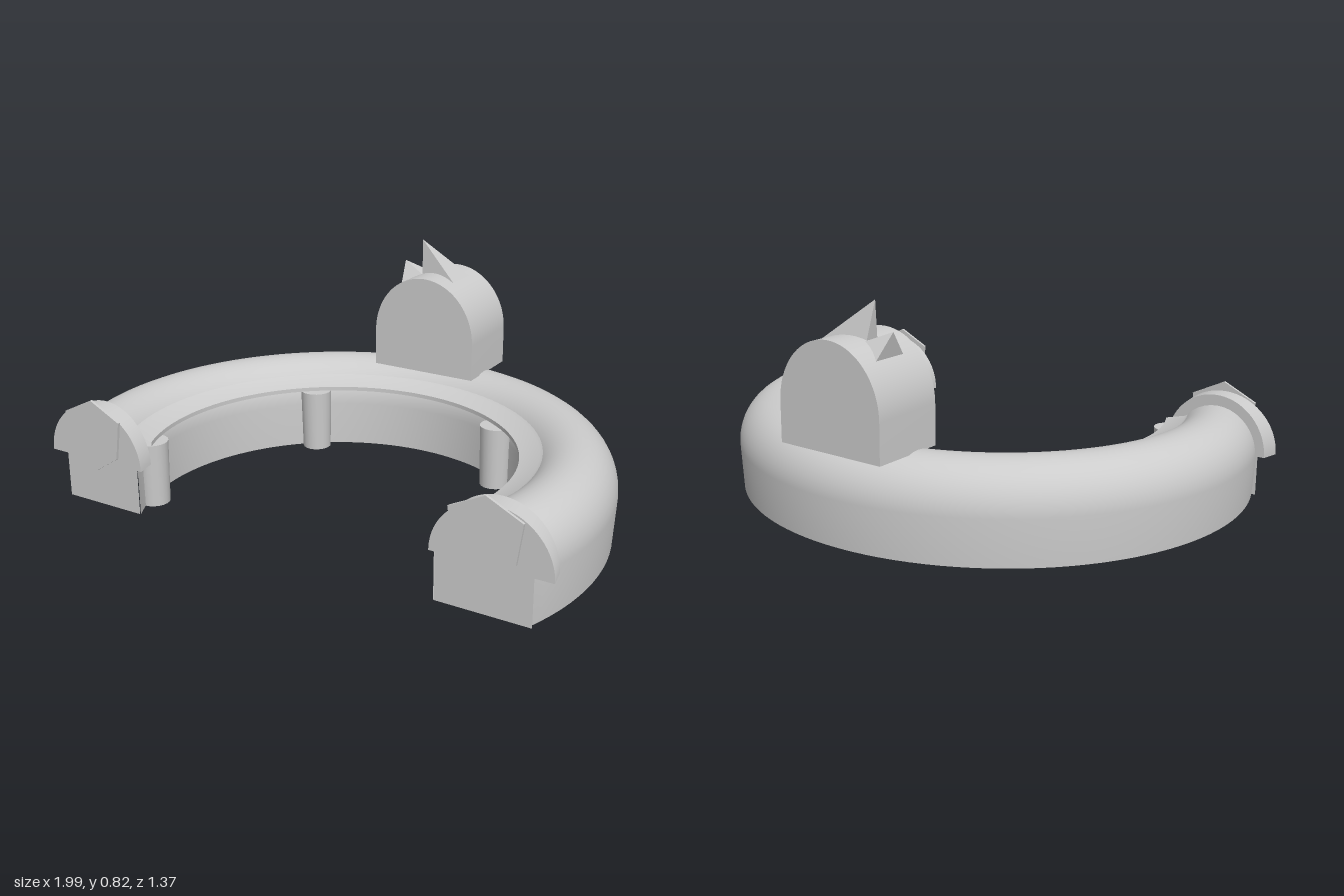
import * as THREE from 'three';
import { toCreasedNormals } from 'three/addons/utils/BufferGeometryUtils.js';
import { ConvexGeometry } from 'three/addons/geometries/ConvexGeometry.js';

const CZ = 0.31; // centre of the ring along z
const SEGMENTS = 72;
const smooth = new THREE.MeshStandardMaterial({ color: 0xcccccc, side: THREE.DoubleSide });
const faceted = new THREE.MeshStandardMaterial({ color: 0xcccccc, flatShading: true });

// Turns a profile [radius, y] around the ring, cut off on the plane z = zEnd
function horseshoe(profile, zEnd) {
  const geo = new THREE.LatheGeometry(profile.map(([r, y]) => new THREE.Vector2(r, y)), SEGMENTS);
  const pos = geo.attributes.position;
  for (let i = 0; i < pos.count; i++) {
    const t = Math.floor(i / profile.length) / SEGMENTS;
    const [r, y] = profile[i % profile.length];
    const start = Math.acos((zEnd - CZ) / r);
    const a = start + t * (2 * Math.PI - 2 * start);
    pos.setXYZ(i, r * Math.sin(a), y, CZ + r * Math.cos(a));
  }
  return toCreasedNormals(geo, 0.6);
}

// Upright outline with an elliptical top, centred on x = 0
function archShape(rx, ry, yBottom, ySpring) {
  const s = new THREE.Shape();
  s.moveTo(-rx, yBottom);
  s.lineTo(rx, yBottom);
  if (ySpring > yBottom) s.lineTo(rx, ySpring);
  s.absellipse(0, ySpring, rx, ry, 0, Math.PI, false);
  s.closePath();
  return s;
}

function extrude(shape, depth) {
  return toCreasedNormals(
    new THREE.ExtrudeGeometry(shape, { depth, bevelEnabled: false, curveSegments: 24 }), 0.6);
}

export function createModel() {
  const group = new THREE.Group();
  const add = (name, geo, mat = smooth, x = 0, y = 0, z = 0) => {
    const m = new THREE.Mesh(geo, mat);
    m.name = name;
    m.position.set(x, y, z);
    group.add(m);
    return m;
  };

  // Hollow ring: straight walls under a rounded top, open below
  const body = [[0.98, 0]];
  for (let i = 0; i <= 20; i++) {
    const a = (i / 20) * Math.PI;
    body.push([0.84 + 0.15 * Math.cos(a), 0.17 + 0.165 * Math.sin(a)]);
  }
  body.push([0.69, 0]);
  add('ringBody', horseshoe(body, 0.66));

  // Thin ledge along the inside of the ring
  add('innerLedge', horseshoe(
    [[0.735, 0.285], [0.72, 0.275], [0.65, 0.255], [0.65, 0.24], [0.7, 0.24]], 0.59));

  // Posts under the ledge
  for (const [x, z] of [[0.37, -0.235], [-0.42, -0.215], [0.63, 0.54], [-0.63, 0.54]]) {
    add('post', new THREE.CylinderGeometry(0.06, 0.055, 0.237, 20), smooth, x, 0.1185, z);
  }

  // Both ends of the ring
  for (const side of [-1, 1]) {
    // Flat closing wall
    add('endWall', new THREE.ShapeGeometry(archShape(0.166, 0.165, 0, 0.17), 20),
      smooth, side * 0.764, 0, 0.66);

    // Flared arched collar
    const collar = extrude(archShape(0.21, 0.205, 0.17, 0.17), 0.07);
    const p = collar.attributes.position;
    for (let i = 0; i < p.count; i++) {
      if (p.getZ(i) < 0.035) p.setX(i, p.getX(i) * 0.93);
    }
    add('endCollar', collar, smooth, side * 0.787, 0, 0.594);

    // Six-sided badge in front of the collar
    const hex = new THREE.Shape([[0, 0.407], [-0.125, 0.345], [-0.105, 0.205], [0, 0.137],
      [0.105, 0.205], [0.125, 0.345]].map(([x, y]) => new THREE.Vector2(x, y)));
    add('endPlate', extrude(hex, 0.01), faceted, side * 0.775, 0, 0.674);
  }

  // Arched block standing on the back of the ring
  add('backBlock', extrude(archShape(0.215, 0.235, 0.327, 0.47), 0.283), smooth, -0.035, 0, -0.683);

  // Crystal spikes on the block
  const spikes = {
    largeSpike: [[-0.12, 0.825, -0.543], [-0.1, 0.66, -0.51], [-0.1, 0.66, -0.575],
      [0.055, 0.685, -0.475], [0.055, 0.685, -0.61]],
    smallSpike: [[-0.2, 0.73, -0.55], [-0.175, 0.62, -0.46], [-0.175, 0.62, -0.63],
      [-0.1, 0.69, -0.58], [-0.1, 0.69, -0.51]],
  };
  for (const [name, pts] of Object.entries(spikes)) {
    add(name, new ConvexGeometry(pts.map((q) => new THREE.Vector3(...q))), faceted);
  }
  return group;
}
